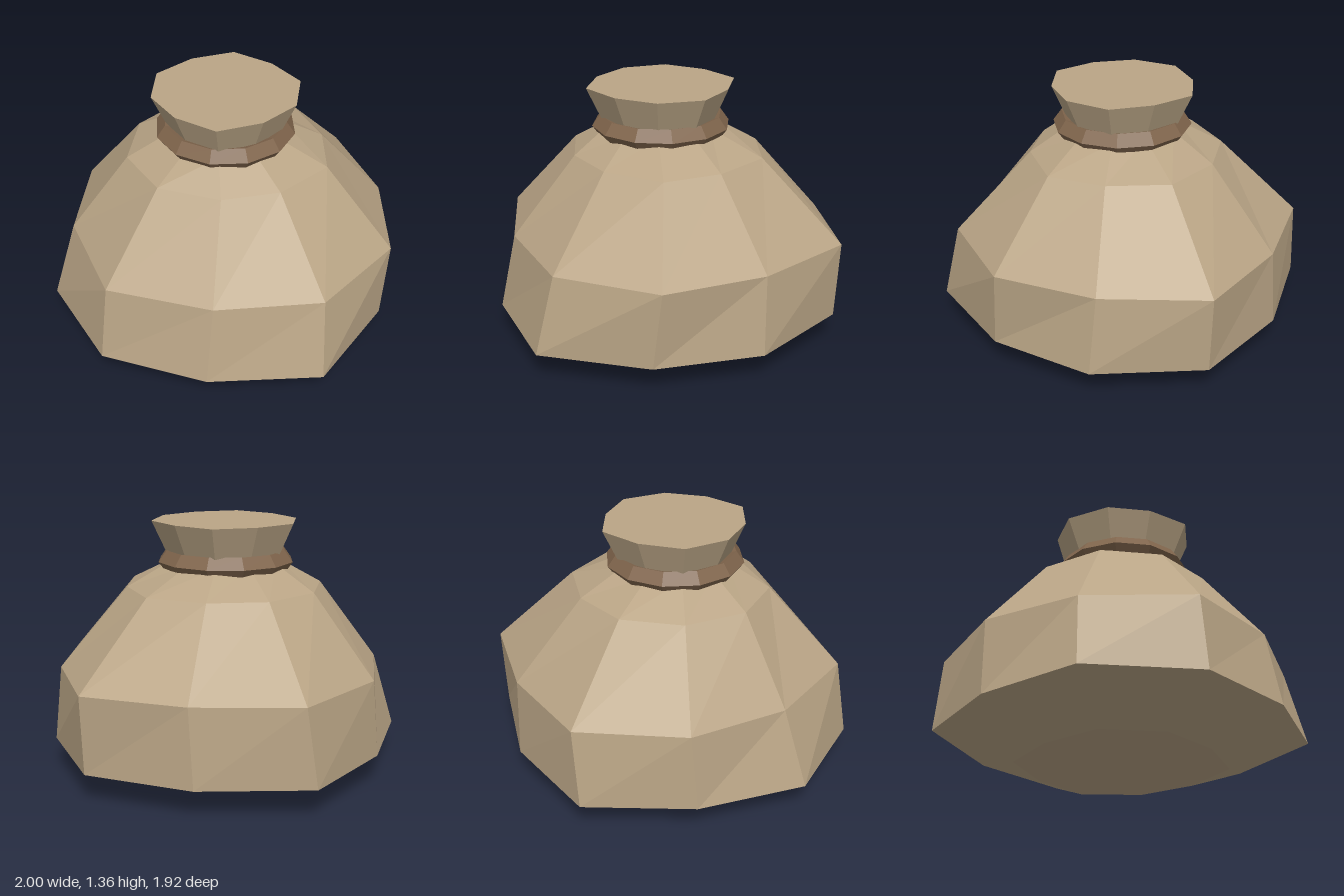
import * as THREE from 'three';

// Irregular ten-sided rings as [x, z], starting at +x and turning toward the front
const LOWER = [[0.98, 0], [0.75, 0.56], [0.27, 0.885], [-0.335, 0.965], [-0.765, 0.54],
  [-1, 0], [-0.82, -0.58], [-0.3, -0.87], [0.29, -0.96], [0.735, -0.545]];
const BELLY = [[1, 0], [0.735, 0.51], [0.32, 0.885], [-0.26, 0.89], [-0.68, 0.51],
  [-0.935, 0], [-0.69, -0.53], [-0.26, -0.86], [0.33, -0.915], [0.735, -0.51]];
const SHOULDER = [[0.55, 0], [0.42, 0.31], [0.19, 0.525], [-0.15, 0.49], [-0.4, 0.31],
  [-0.54, 0], [-0.45, -0.32], [-0.17, -0.515], [0.17, -0.51], [0.42, -0.31]];
const MOUTH = [[0.35, 0], [0.305, 0.235], [0.1, 0.375], [-0.14, 0.36], [-0.355, 0.24],
  [-0.4, 0], [-0.34, -0.23], [-0.145, -0.385], [0.1, -0.36], [0.31, -0.24]];

const NECK_X = -0.025;

// Place a ring at a height, scaled about a point on the x axis
function ring(points, y, scale = 1, cx = 0) {
  return points.map(([x, z]) => new THREE.Vector3(cx + (x - cx) * scale, y, z * scale));
}

// Skin a stack of rings from bottom to top, with optional end caps
function loft(rings, capBottom, capTop) {
  const pos = [];
  const tri = (...v) => v.forEach((p) => pos.push(p.x, p.y, p.z));
  const n = rings[0].length;
  const centre = (r) => r.reduce((s, p) => s.add(p), new THREE.Vector3()).divideScalar(n);
  const first = rings[0];
  const last = rings[rings.length - 1];
  for (let j = 0; j < n; j++) {
    const k = (j + 1) % n;
    for (let i = 0; i < rings.length - 1; i++) {
      const a = rings[i][j], b = rings[i][k], c = rings[i + 1][k], d = rings[i + 1][j];
      tri(a, d, b);
      tri(b, d, c);
    }
    if (capBottom) tri(centre(first), first[j], first[k]);
    if (capTop) tri(centre(last), last[k], last[j]);
  }
  const geo = new THREE.BufferGeometry();
  geo.setAttribute('position', new THREE.Float32BufferAttribute(pos, 3));
  geo.computeVertexNormals();
  return geo;
}

export function createModel() {
  const model = new THREE.Group();
  model.name = 'tiedSack';

  const cloth = new THREE.MeshStandardMaterial({ color: 0xbaa586 });
  cloth.name = 'sackcloth';
  const cord = new THREE.MeshStandardMaterial({ color: 0x80654c });
  cord.name = 'cord';
  cloth.flatShading = cord.flatShading = true;

  const add = (name, geo, mat) => {
    const mesh = new THREE.Mesh(geo, mat);
    mesh.name = name;
    model.add(mesh);
    return mesh;
  };

  // Bulging body, pinched in at the neck
  const neck = ring(MOUTH, 1.14, 0.75, NECK_X);
  add('body', loft([ring(LOWER, 0, 0.57), ring(LOWER, 0.155), ring(BELLY, 0.575),
    ring(SHOULDER, 1.005), neck], true, false), cloth);

  // Flared, closed top above the tie
  add('gatheredTop', loft([neck, ring(MOUTH, 1.36)], false, true), cloth);

  // Cord tied around the neck
  const tie = add('tie', new THREE.TorusGeometry(0.31, 0.065, 5, 12), cord);
  tie.rotation.x = -Math.PI / 2;
  tie.position.set(NECK_X, 1.14, 0);

  return model;
}
